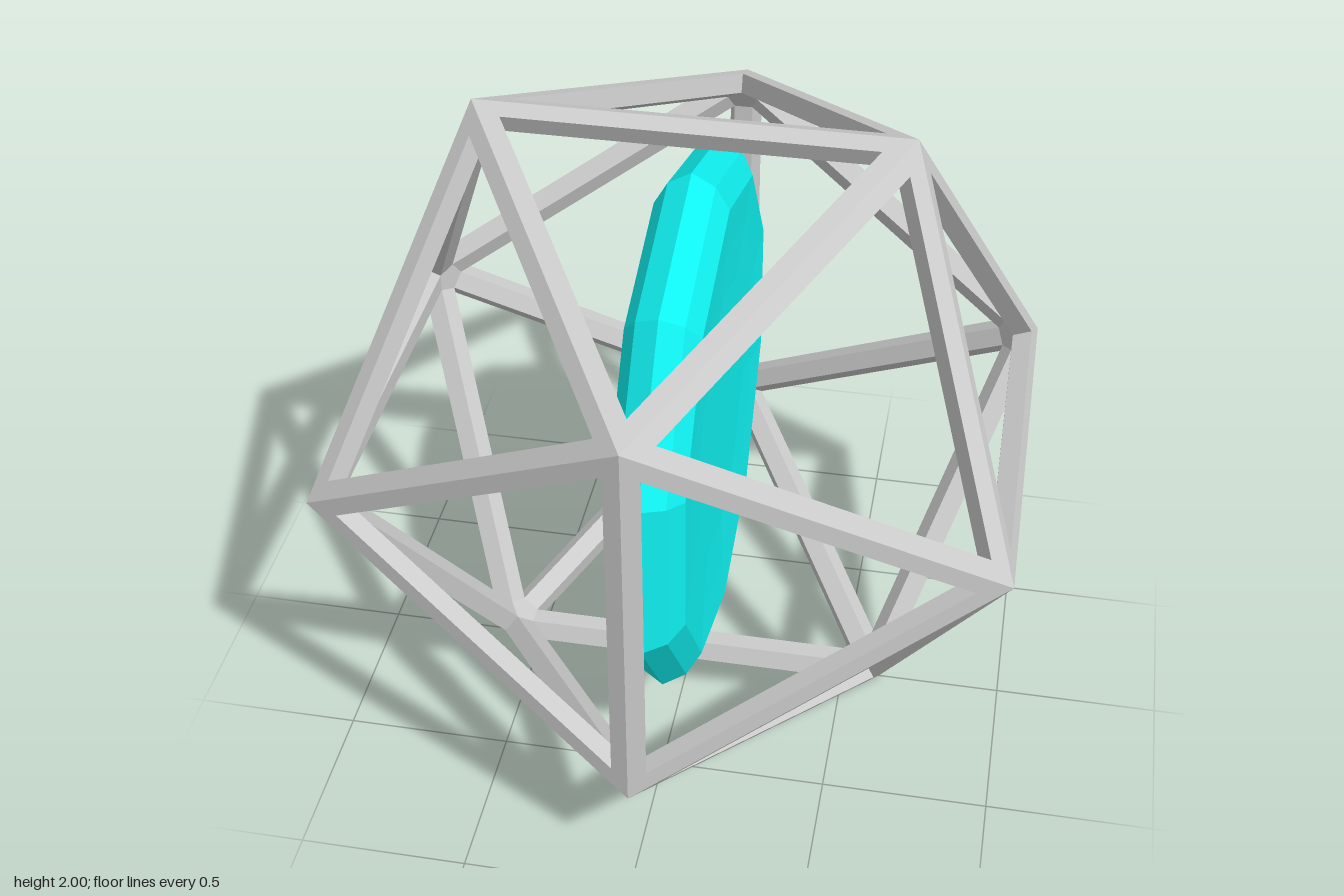
import * as THREE from 'three';

const WIDTH = 0.0535; // frame width on each face, measured from the edge
const DEPTH = 0.06;   // frame thickness, square to each face

// Open icosahedral cage: mitred outer bands, hole walls, flat inner struts and corner caps
function cageGeometry() {
  const ico = new THREE.IcosahedronGeometry(Math.hypot(1, 0.618), 0).getAttribute('position');
  const out = [];
  const tri = (a, b, c) => { for (const p of [a, b, c]) out.push(p.x, p.y, p.z); };
  const quad = (a, b, c, d) => { tri(a, b, c); tri(a, c, d); };
  const key = p => [p.x, p.y, p.z].map(v => Math.round(v * 100) + 0).join();
  const edges = new Map();

  for (let f = 0; f < ico.count; f += 3) {
    const v = [0, 1, 2].map(i => new THREE.Vector3().fromBufferAttribute(ico, f + i));
    const centre = v[0].clone().add(v[1]).add(v[2]).divideScalar(3);
    const normal = centre.clone().normalize();
    const inradius = v[0].distanceTo(v[1]) / (2 * Math.sqrt(3));
    const rim = v.map(p => p.clone().lerp(centre, WIDTH / inradius));
    const inner = rim.map(p => p.clone().addScaledVector(normal, -DEPTH));

    for (let i = 0; i < 3; i++) {
      const j = (i + 1) % 3;
      quad(v[i], v[j], rim[j], rim[i]);         // outer band
      quad(rim[i], rim[j], inner[j], inner[i]); // hole wall
      const other = edges.get(key(v[j]) + '|' + key(v[i]));
      if (!other) {
        edges.set(key(v[i]) + '|' + key(v[j]), [inner[i], inner[j]]);
        continue;
      }
      // inner side of the strut shared with the neighbouring face
      const [b2, a2] = other;
      quad(inner[i], inner[j], b2, a2);
      // one slice of the pentagonal cap at each end
      const cap = (p, q) => {
        const d = p.clone().normalize();
        return d.multiplyScalar(q.dot(d));
      };
      tri(inner[i], a2, cap(v[i], a2));
      tri(inner[j], cap(v[j], b2), b2);
    }
  }

  // make the inner struts and caps face the middle, the outer bands face outwards
  const a = new THREE.Vector3(), b = new THREE.Vector3(), c = new THREE.Vector3();
  for (let i = 0; i < out.length; i += 9) {
    a.fromArray(out, i); b.fromArray(out, i + 3); c.fromArray(out, i + 6);
    const n = b.clone().sub(a).cross(c.clone().sub(a)).normalize();
    const mid = a.clone().add(b).add(c).divideScalar(3);
    const radial = n.dot(mid.clone().normalize());
    const isInner = mid.length() < 0.93 || a.length() < 1.06 && Math.abs(radial) > 0.8;
    if (isInner && radial > 0.8) {
      b.toArray(out, i + 6);
      c.toArray(out, i + 3);
    }
  }

  const geometry = new THREE.BufferGeometry();
  geometry.setAttribute('position', new THREE.Float32BufferAttribute(out, 3));
  geometry.computeVertexNormals();
  return geometry;
}

// Ten-sided disc with a bevelled rim and slightly dished faces, axis along x
function discGeometry() {
  const half = [[0, 0.09], [0.42, 0.093], [0.58, 0.1], [0.72, 0.108], [0.79, 0.068]];
  const profile = [
    ...half.map(([r, h]) => new THREE.Vector2(r, -h)),
    new THREE.Vector2(0.83, 0),
    ...half.map(([r, h]) => new THREE.Vector2(r, h)).reverse(),
  ];
  return new THREE.LatheGeometry(profile, 10, Math.PI / 2).rotateZ(-Math.PI / 2);
}

export function createModel() {
  const model = new THREE.Group();
  model.name = 'cagedDisc';

  const cage = new THREE.Mesh(cageGeometry(), new THREE.MeshStandardMaterial({
    color: 0xcccccc, flatShading: true, side: THREE.DoubleSide,
  }));
  cage.name = 'icosahedralCage';

  const disc = new THREE.Mesh(discGeometry(), new THREE.MeshStandardMaterial({
    color: 0x10f0f0, flatShading: true,
  }));
  disc.name = 'facetedDisc';

  for (const part of [cage, disc]) {
    part.position.y = 1;
    model.add(part);
  }
  return model;
}
